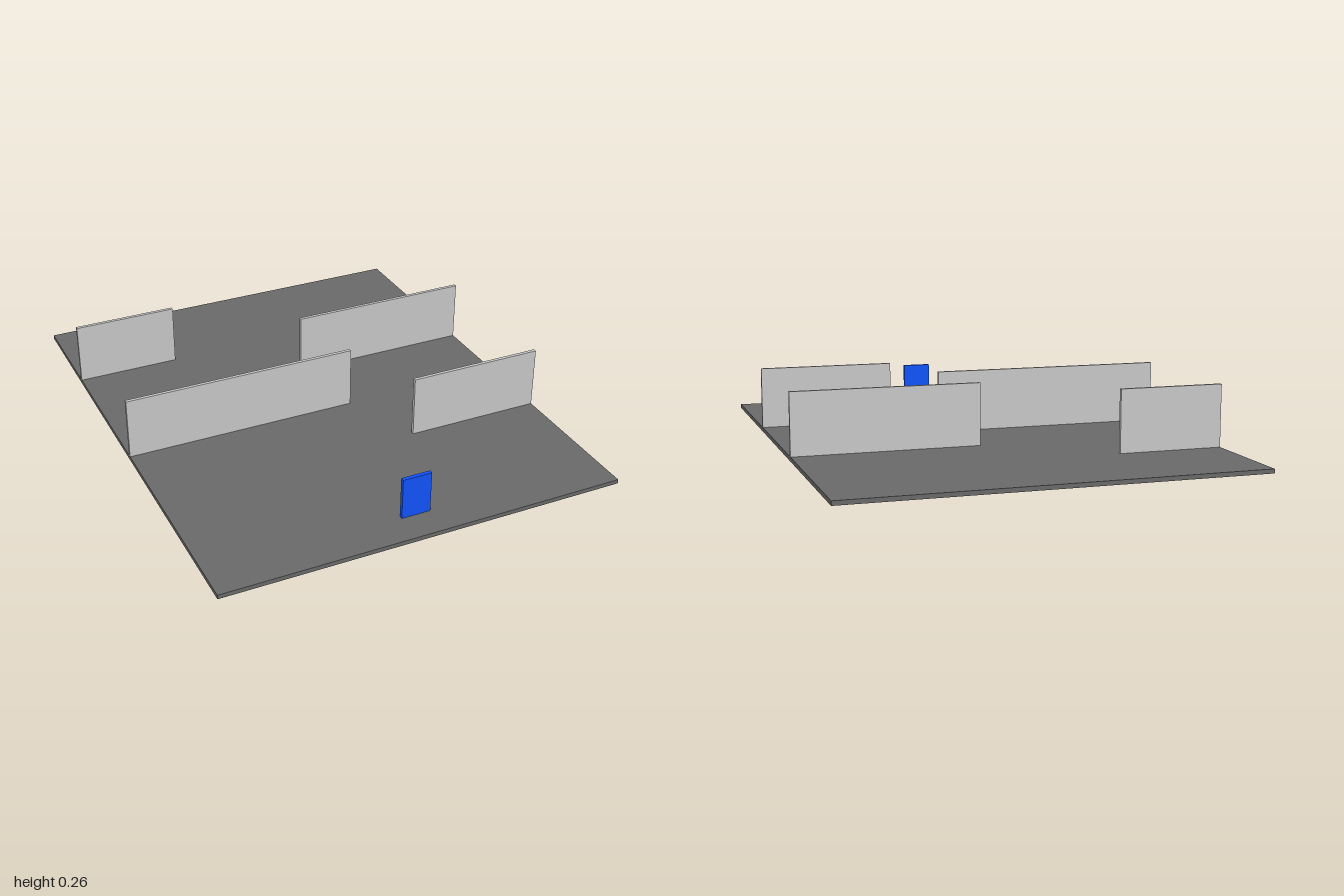
import * as THREE from 'three';

const BASE_TOP = 0.017;
const HALF_WIDTH = 0.812;

// Box given by its extents in x and y, its centre in z and its thickness
function panel(name, x0, x1, y0, y1, z, depth, material) {
  const mesh = new THREE.Mesh(new THREE.BoxGeometry(x1 - x0, y1 - y0, depth), material);
  mesh.position.set((x0 + x1) / 2, (y0 + y1) / 2, z);
  mesh.name = name;
  return mesh;
}

export function createModel() {
  const model = new THREE.Group();
  model.name = 'wallCourse';

  const floorMaterial = new THREE.MeshStandardMaterial({ color: 0x6b6b6b });
  const wallMaterial = new THREE.MeshStandardMaterial({ color: 0xcccccc });
  const markerMaterial = new THREE.MeshStandardMaterial({ color: 0x1155ff });

  // Floor slab
  model.add(panel('floor', -HALF_WIDTH, HALF_WIDTH, 0, BASE_TOP, 0, 2, floorMaterial));

  // Staggered walls, alternately reaching in from either side: [x0, x1, z]
  const walls = new THREE.Group();
  walls.name = 'walls';
  [
    [0.261, HALF_WIDTH, 0.386],
    [-HALF_WIDTH, 0.137, 0.072],
    [0.064, HALF_WIDTH, -0.257],
    [-HALF_WIDTH, -0.392, -0.572],
  ].forEach(([x0, x1, z], i) => {
    walls.add(panel(`wall${i + 1}`, x0, x1, BASE_TOP, 0.265, z, 0.014, wallMaterial));
  });
  model.add(walls);

  // Upright blue marker near the front edge
  model.add(panel('marker', -0.046, 0.071, BASE_TOP, 0.184, 0.868, 0.016, markerMaterial));

  return model;
}
